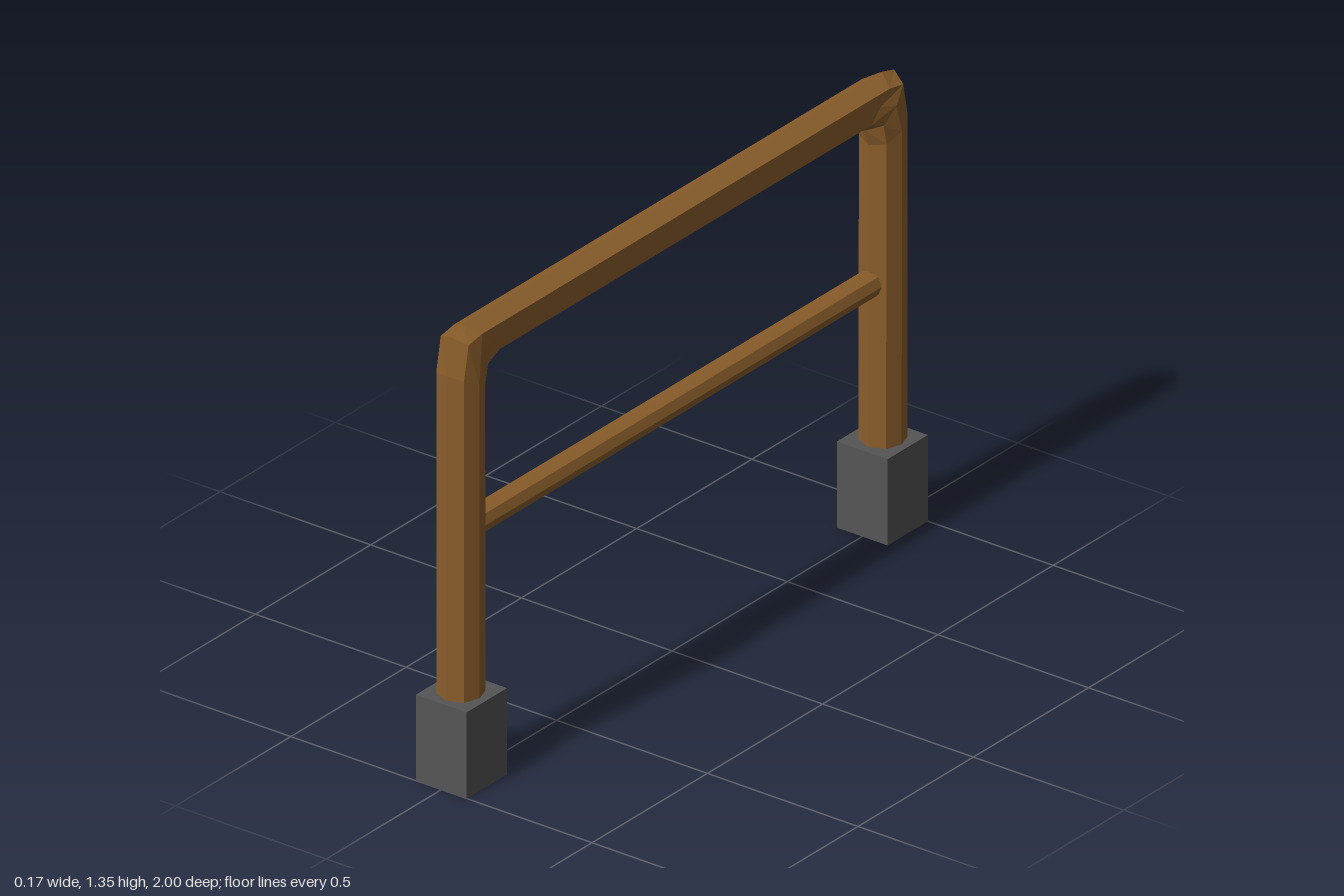
import * as THREE from 'three';

const wood = new THREE.MeshStandardMaterial({ color: 0x8b5e2b, flatShading: true });
wood.name = 'wood';
const concrete = new THREE.MeshStandardMaterial({ color: 0x555555, flatShading: true, side: THREE.DoubleSide });
concrete.name = 'concrete';

// Half of the bent frame: outer and inner edge (z, y), half width at the middle, bevel depth
const HALF = [
  { o: [0.98, 0.25], i: [0.85, 0.25], w: 0.062, t: 0.14 },
  { o: [0.98, 1.22], i: [0.853, 1.15], w: 0.062, t: 0.14 },
  { o: [0.963, 1.33], i: [0.838, 1.2], w: 0.056, t: 0.16 },
  { o: [0.91, 1.345], i: [0.78, 1.218], w: 0.046, t: 0.2 },
];

// Eight-sided section swept up one post, along the top and down the other post
function frameGeometry() {
  const mirrored = HALF.slice().reverse().map(s => ({ ...s, o: [-s.o[0], s.o[1]], i: [-s.i[0], s.i[1]] }));
  const rings = [...HALF, ...mirrored];
  const pos = [], idx = [];
  for (const { o, i, w, t } of rings) {
    const section = [
      [0, 0], [0.046, t], [w, 0.5], [0.046, 1 - t],
      [0, 1], [-0.046, 1 - t], [-w, 0.5], [-0.046, t],
    ];
    for (const [x, k] of section) {
      pos.push(x, o[1] + (i[1] - o[1]) * k, o[0] + (i[0] - o[0]) * k);
    }
  }
  for (let r = 0; r < rings.length - 1; r++) {
    for (let j = 0; j < 8; j++) {
      const a = r * 8 + j, b = r * 8 + (j + 1) % 8;
      idx.push(a, b, a + 8, b, b + 8, a + 8);
    }
  }
  const g = new THREE.BufferGeometry();
  g.setAttribute('position', new THREE.Float32BufferAttribute(pos, 3));
  g.setIndex(idx);
  g.computeVertexNormals();
  return g;
}

// Box without its bottom face
function footingGeometry(w, h, d) {
  const g = new THREE.BoxGeometry(w, h, d);
  const index = Array.from(g.index.array);
  index.splice(18, 6);
  g.setIndex(index);
  g.clearGroups();
  return g;
}

export function createModel() {
  const model = new THREE.Group();
  model.name = 'barrierRail';
  const add = (name, geometry, material, x, y, z) => {
    const mesh = new THREE.Mesh(geometry, material);
    mesh.name = name;
    mesh.position.set(x, y, z);
    model.add(mesh);
    return mesh;
  };

  add('frame', frameGeometry(), wood, 0, 0, 0);

  // Thin crossbar between the posts
  const bar = add('crossbar', new THREE.CylinderGeometry(0.038, 0.038, 1.72, 8), wood, 0, 0.738, 0);
  bar.rotation.x = Math.PI / 2;

  // Blocks under the posts
  for (const s of [1, -1]) {
    add(s > 0 ? 'frontFooting' : 'backFooting', footingGeometry(0.168, 0.256, 0.175), concrete, 0, 0.128, s * 0.9125);
  }
  return model;
}
